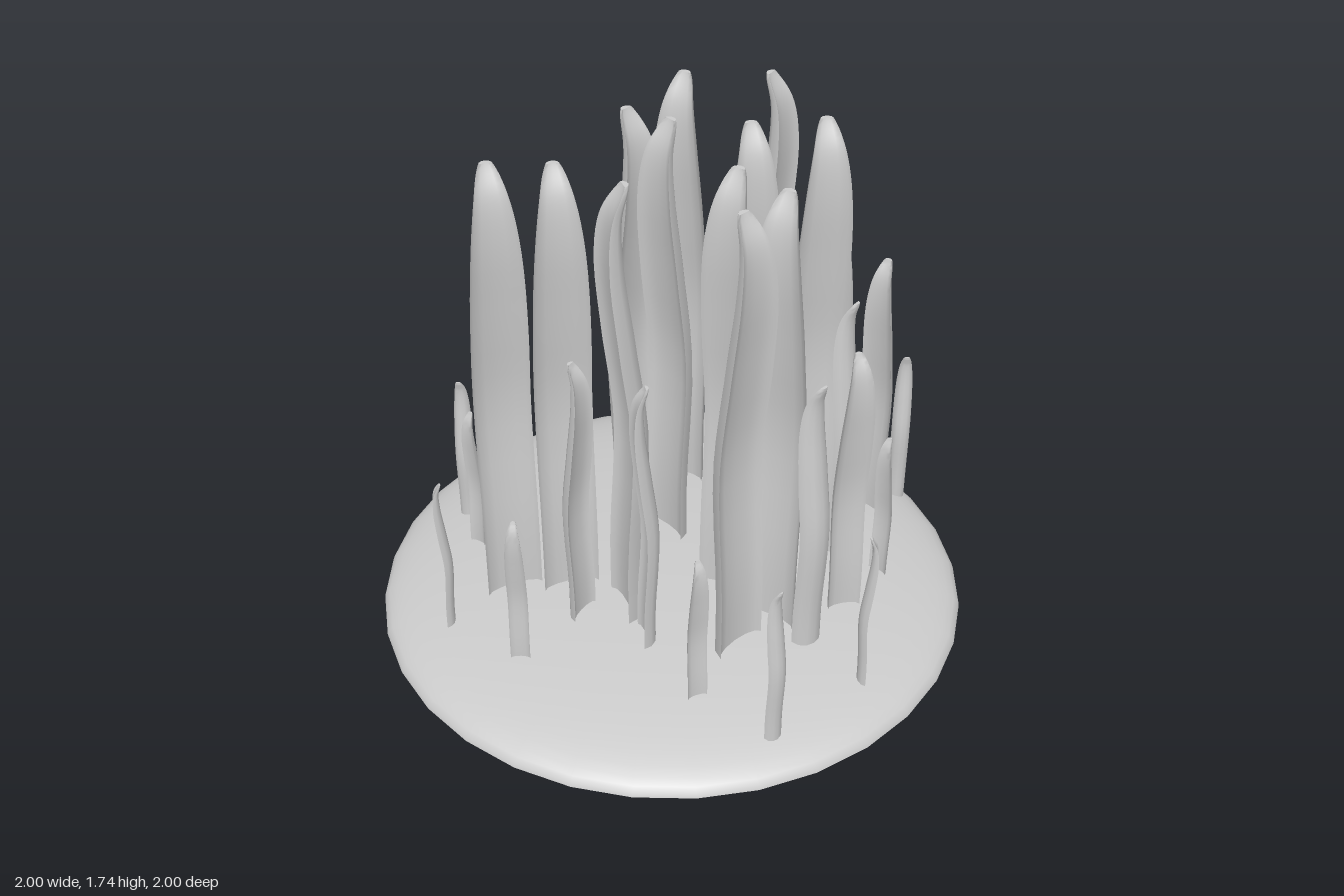
import * as THREE from 'three';
import { toCreasedNormals } from 'three/addons/utils/BufferGeometryUtils.js';

const material = new THREE.MeshStandardMaterial({ color: 0xcccccc });
const BASE_Y = 0.05;

// Centre line of a blade: z is the sway (towards the hollow side is +), y runs 0..1
const sway = new THREE.CatmullRomCurve3(
  [[0, 0], [0.2, 0.0], [0.48, -0.022], [0.68, 0.012], [0.85, 0.034], [0.94, 0.018], [1, -0.035]]
    .map(([y, z]) => new THREE.Vector3(0, y, z)));

// Half width of the blade at height t: almost constant, then a rounded tip
function halfWidth(t) {
  const k = THREE.MathUtils.clamp((t - 0.6) / 0.4, 0, 1);
  return 0.093 * Math.sqrt(1 - 0.94 * k ** 3) * (1 - 0.12 * k);
}

// Crescent section swept up the swaying centre line
function bladeGeometry(height, scale) {
  const rows = 28, half = 6, ring = half * 2;
  const positions = [], index = [];
  for (let i = 0; i <= rows; i++) {
    const t = 1 - (1 - i / rows) ** 1.5;
    const c = sway.getPoint(t);
    const w = halfWidth(c.y);
    for (let j = 0; j < ring; j++) {
      const a = (j / half) * Math.PI;
      const bulge = Math.abs(Math.sin(a)) * w * (j < half ? 0.85 : 0.3);
      positions.push(Math.cos(a) * w * scale, c.y * height, (c.z + 0.035 - bulge) * scale);
    }
  }
  for (let i = 0; i < rows; i++) {
    for (let j = 0; j < ring; j++) {
      const a = i * ring + j, b = i * ring + (j + 1) % ring;
      index.push(a, b, b + ring, a, b + ring, a + ring);
    }
  }
  // End caps
  const top = rows * ring;
  for (let j = 1; j < ring - 1; j++) {
    index.push(0, j + 1, j, top, top + j, top + j + 1);
  }
  const g = new THREE.BufferGeometry();
  g.setAttribute('position', new THREE.Float32BufferAttribute(positions, 3));
  g.setIndex(index);
  return toCreasedNormals(g, 0.8);
}

// Each blade: x, z, turn in degrees
const sizes = [
  { name: 'tallBlade', top: 1.74, scale: 1, blades: [
    [-0.11, -0.465, -8], [0.155, -0.55, 78], [-0.2, -0.165, 65], [-0.05, -0.135, -30],
    [0.19, -0.19, 32], [0.4, -0.29, 30], [0.235, 0.1, -12], [0.41, 0.185, -10],
    [-0.47, 0.3, 36], [-0.285, 0.24, 32], [-0.05, 0.295, -52], [0.325, 0.345, 62]] },
  { name: 'mediumBlade', top: 1.14, scale: 0.62, blades: [
    [-0.5, -0.405, 110], [-0.315, -0.605, -5], [0.04, -0.81, 60], [0.385, -0.685, 10],
    [0.58, -0.525, -20], [0.54, -0.235, -110], [0.615, 0.045, 38], [0.555, 0.25, -120],
    [0.055, 0.42, -60], [-0.2, 0.37, 75], [-0.575, -0.025, 22]] },
  { name: 'shortBlade', top: 0.68, scale: 0.35, blades: [
    [-0.24, -0.815, 25], [0.23, -0.8, -75], [0.65, -0.66, 195], [0.695, -0.175, -20],
    [0.755, 0.34, 105], [0.555, 0.665, -120], [0.28, 0.605, 40], [-0.315, 0.61, 10],
    [-0.61, 0.51, -65], [-0.67, 0.12, -20], [-0.78, -0.03, 190], [-0.605, -0.59, -50]] },
];

export function createModel() {
  const model = new THREE.Group();

  // Low mound with a flat underside and a narrow rolled rim
  const profile = [new THREE.Vector2(0, 0), new THREE.Vector2(0.985, 0)];
  for (let i = 0; i <= 16; i++) {
    const a = (i / 16) * Math.PI / 2;
    profile.push(new THREE.Vector2(i === 16 ? 0 : Math.cos(a), 0.015 + 0.147 * Math.sin(a)));
  }
  const mound = new THREE.Mesh(toCreasedNormals(new THREE.LatheGeometry(profile, 32), 0.7), material);
  mound.name = 'mound';
  model.add(mound);

  // Blades of three sizes, tallest near the middle
  for (const { name, top, scale, blades } of sizes) {
    const geometry = bladeGeometry(top - BASE_Y, scale);
    for (const [x, z, turn] of blades) {
      const blade = new THREE.Mesh(geometry, material);
      blade.name = name;
      blade.position.set(x, BASE_Y, z);
      blade.rotation.y = THREE.MathUtils.degToRad(turn);
      model.add(blade);
    }
  }
  return model;
}
